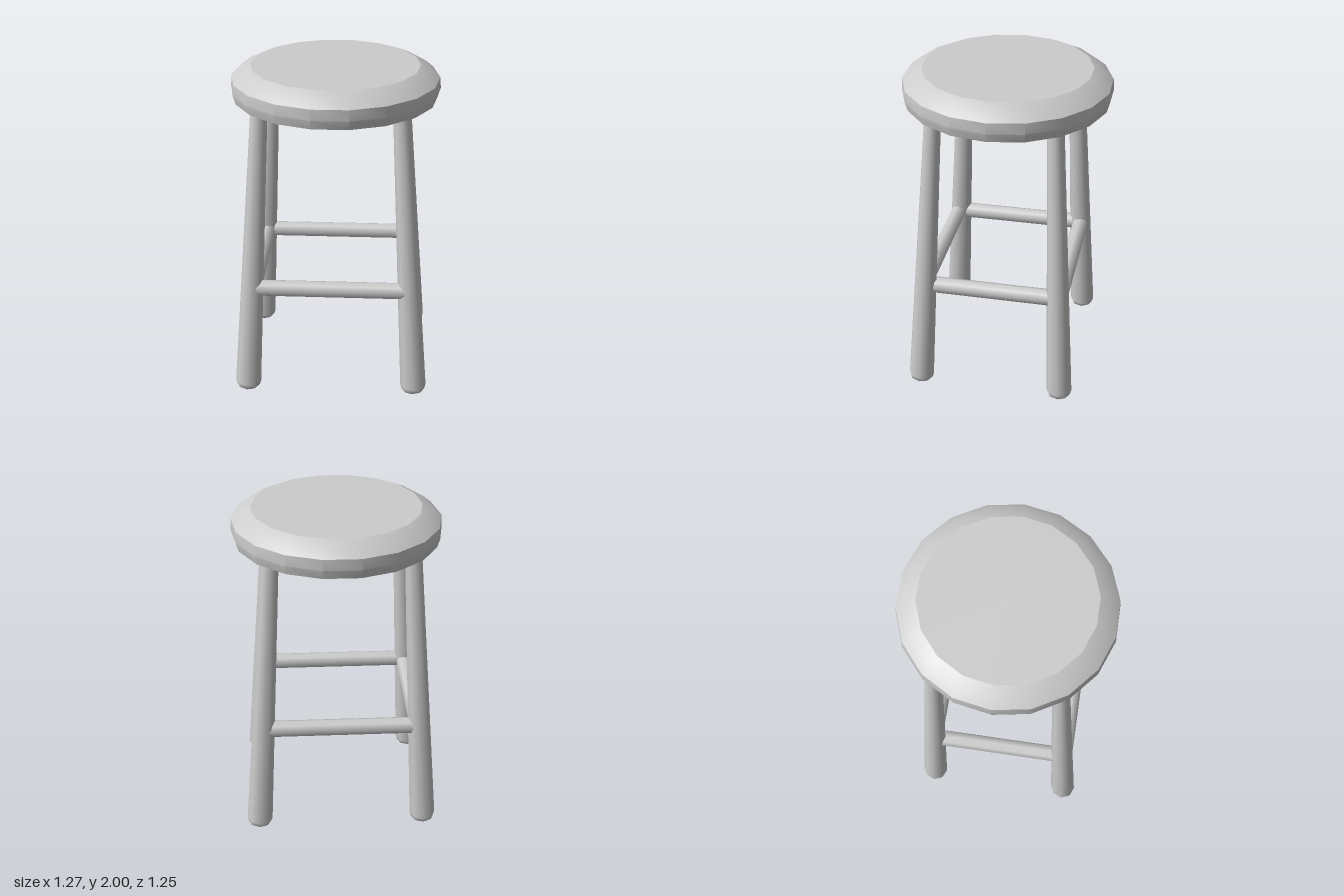
import * as THREE from 'three';
import { toCreasedNormals } from 'three/addons/utils/BufferGeometryUtils.js';

const UP = new THREE.Vector3(0, 1, 0);

// Turned shape whose first corner lies on the x axis
function turned(profile, sides) {
  const points = profile.map(([r, y]) => new THREE.Vector2(r, y));
  return new THREE.LatheGeometry(points, sides, Math.PI / 2);
}

// Places a y-aligned mesh so its origin is at a and its axis points to b
function aim(mesh, a, b) {
  mesh.position.copy(a);
  mesh.quaternion.setFromUnitVectors(UP, b.clone().sub(a).normalize());
}

export function createModel() {
  const model = new THREE.Group();
  model.name = 'stool';
  const grey = new THREE.MeshStandardMaterial({ color: 0xcccccc });
  grey.name = 'plain grey';

  function add(name, geometry) {
    const mesh = new THREE.Mesh(geometry, grey);
    mesh.name = name;
    model.add(mesh);
    return mesh;
  }

  // Round seat with a bevelled top rim and flat underside
  const seat = turned([
    [0, 1.805], [0.618, 1.805], [0.634, 1.86], [0.629, 1.925],
    [0.575, 1.97], [0.512, 2], [0, 2],
  ], 18);
  add('seat', toCreasedNormals(seat, 0.4));

  // Splayed, tapered legs with rounded feet: [name, foot x, foot z, top x, top z]
  const legs = [
    ['frontLeftLeg', 0.517, 0.466, 0.4, 0.36],
    ['frontRightLeg', -0.532, 0.466, -0.425, 0.36],
    ['backLeftLeg', 0.517, -0.436, 0.4, -0.357],
    ['backRightLeg', -0.532, -0.436, -0.425, -0.357],
  ];
  for (const [name, fx, fz, tx, tz] of legs) {
    const foot = new THREE.Vector3(fx, 0.006, fz);
    const top = new THREE.Vector3(tx, 1.82, tz);
    const length = foot.distanceTo(top);
    const leg = turned([
      [0, 0], [0.055, 0], [0.072, 0.014], [0.08, 0.042], [0.05, length], [0, length],
    ], 8);
    aim(add(name, leg), foot, top);
  }

  // Round rungs between the legs: [name, start x, start z, end x, end z]
  const rungs = [
    ['frontRung', -0.463, 0.437, 0.446, 0.437],
    ['backRung', -0.45, -0.41, 0.44, -0.41],
    ['leftRung', 0.455, -0.36, 0.455, 0.37],
    ['rightRung', -0.482, -0.4, -0.482, 0.38],
  ];
  for (const [name, ax, az, bx, bz] of rungs) {
    const a = new THREE.Vector3(ax, 0.7, az);
    const b = new THREE.Vector3(bx, 0.7, bz);
    const length = a.distanceTo(b);
    const rung = new THREE.CylinderGeometry(0.051, 0.051, length, 8);
    rung.translate(0, length / 2, 0);
    aim(add(name, rung), a, b);
  }

  return model;
}
